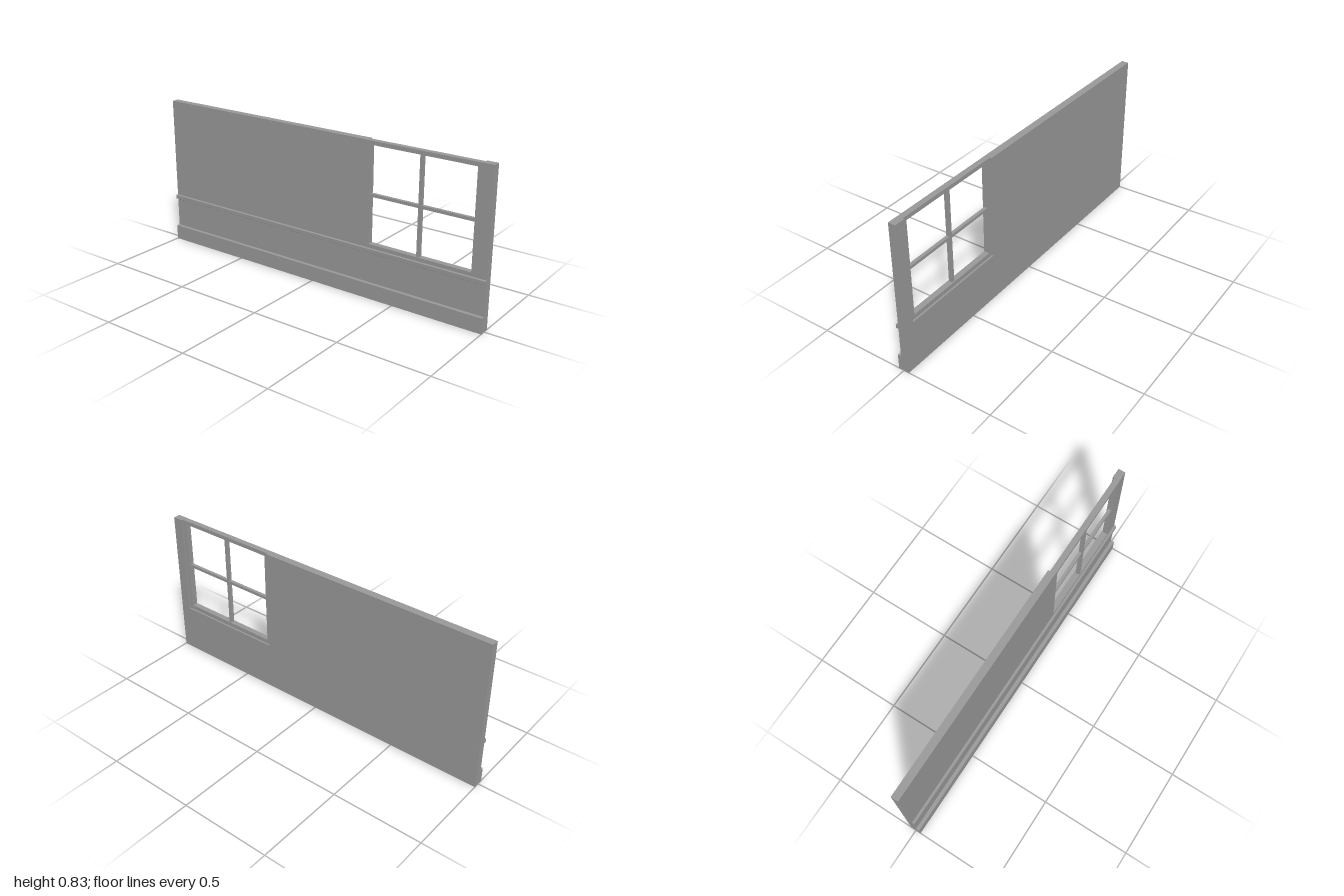
import * as THREE from 'three';

const material = new THREE.MeshStandardMaterial({ color: 0x9a9a9a, flatShading: true });
const HEIGHT = 0.833;

// Box given by its min and max along each axis
function slab(name, [x0, x1], [y0, y1], [z0, z1]) {
  const mesh = new THREE.Mesh(new THREE.BoxGeometry(x1 - x0, y1 - y0, z1 - z0), material);
  mesh.position.set((x0 + x1) / 2, (y0 + y1) / 2, (z0 + z1) / 2);
  mesh.name = name;
  return mesh;
}

// Outline in x and y, extruded from z0 to z1
function extruded(name, shape, z0, z1) {
  const geometry = new THREE.ExtrudeGeometry(shape, { depth: z1 - z0, bevelEnabled: false });
  geometry.translate(0, 0, z0);
  const mesh = new THREE.Mesh(geometry, material);
  mesh.name = name;
  return mesh;
}

const outline = (points) => new THREE.Shape(points.map(([x, y]) => new THREE.Vector2(x, y)));
const rectangle = (x0, x1, y0, y1) => outline([[x0, y0], [x1, y0], [x1, y1], [x0, y1]]);

export function createModel() {
  const model = new THREE.Group();
  model.name = 'wallWithWindow';

  // Wall panel, notched from the top edge for the window
  const left = 0.323, right = 0.942, sill = 0.268;
  model.add(extruded('wall', outline([
    [-1, 0], [1, 0], [1, HEIGHT], [right, HEIGHT], [right, sill],
    [left, sill], [left, HEIGHT], [-1, HEIGHT],
  ]), -0.03, 0.01));

  // Baseboard
  model.add(slab('baseboard', [-1, 1], [0, 0.083], [0.01, 0.03]));

  // Chair rail: profile with eased front edges, turned to run along x
  const rail = extruded('chairRail', outline([
    [0.01, 0.25], [0.023, 0.25], [0.024, 0.251], [0.024, 0.271], [0.023, 0.272], [0.01, 0.272],
  ]), -1, 1);
  rail.rotation.y = -Math.PI / 2;
  model.add(rail);

  // Window: frame set in from the back face, with crossing glazing bars
  const windowGroup = new THREE.Group();
  windowGroup.name = 'window';
  const frame = rectangle(left, right, sill, HEIGHT - 0.001);
  frame.holes.push(rectangle(0.344, 0.919, 0.292, 0.811));
  windowGroup.add(extruded('windowFrame', frame, -0.02, 0.011));
  windowGroup.add(slab('verticalBar', [0.618, 0.635], [0.292, 0.811], [-0.014, 0.006]));
  windowGroup.add(slab('horizontalBar', [0.344, 0.919], [0.543, 0.559], [-0.013, 0.005]));
  model.add(windowGroup);

  return model;
}
